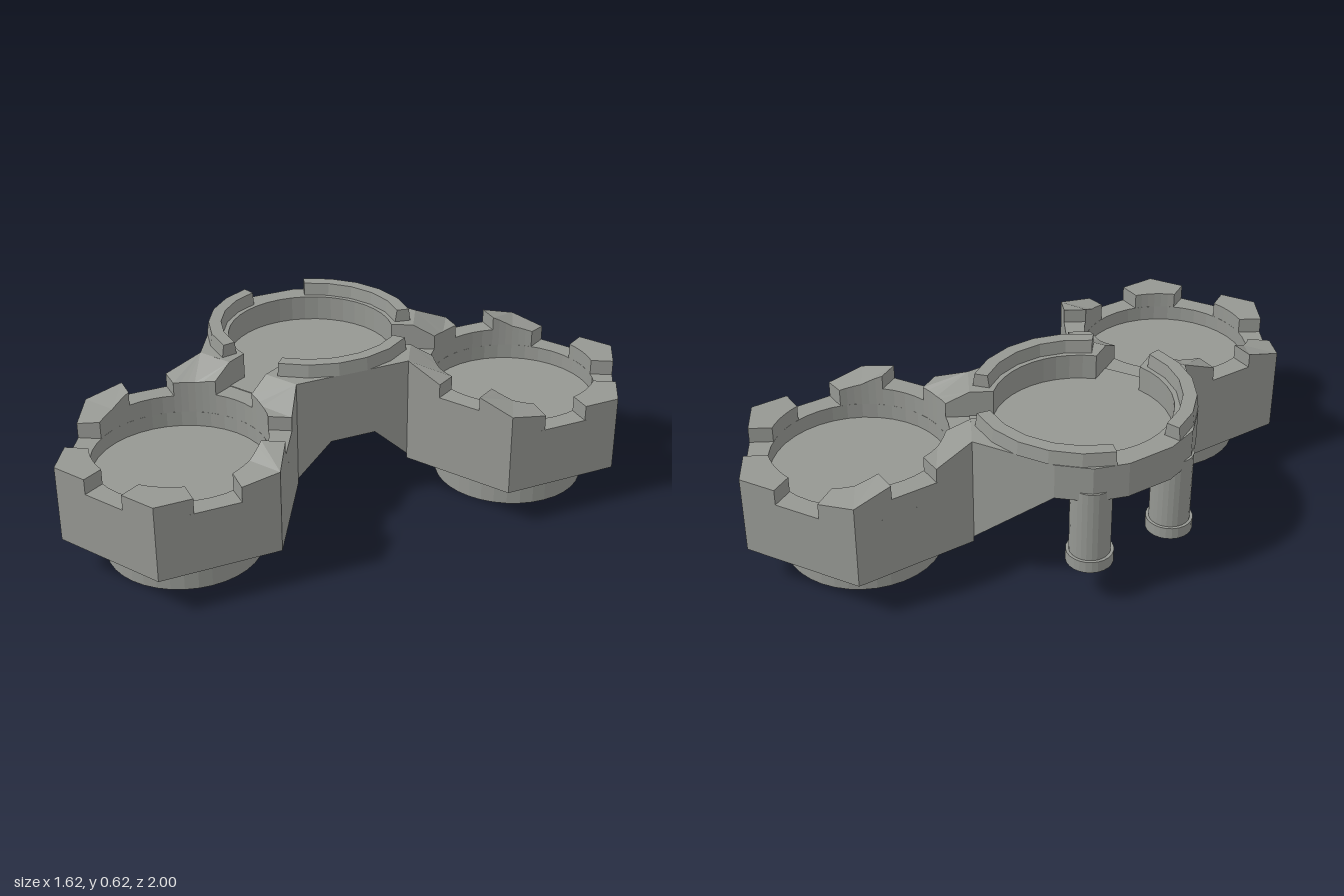
import * as THREE from 'three';
import { ConvexGeometry } from 'three/addons/geometries/ConvexGeometry.js';

const stone = new THREE.MeshStandardMaterial({ color: 0x959792 });
stone.name = 'stoneGrey';

const APOTHEM = 0.4, CORNER = 0.4619, BOWL = 0.325, SLOT = 0.0875, FLOOR = 0.33;
const SLOT_ANGLE = Math.asin(SLOT / BOWL);
const DEG = Math.PI / 180;
const polar = (r, a) => [r * Math.cos(a), r * Math.sin(a)];

// point on the hexagon edge facing angle a, shifted sideways by s
const onEdge = (a, s) => [
  APOTHEM * Math.cos(a) - s * Math.sin(a),
  APOTHEM * Math.sin(a) + s * Math.cos(a),
];

function arc(r, a0, a1, n) {
  return Array.from({ length: n + 1 }, (_, i) => polar(r, a0 + ((a1 - a0) * i) / n));
}

function addMesh(group, name, geometry) {
  const g = geometry.index ? geometry.toNonIndexed() : geometry;
  g.computeVertexNormals();
  const mesh = new THREE.Mesh(g, stone);
  mesh.name = name;
  group.add(mesh);
  return mesh;
}

// upright prism over an (x, z) outline; top is a height or a rule of x
function prism(group, name, outline, y0, top, hole) {
  const flat = (pts) => pts.map(([x, z]) => new THREE.Vector2(x, -z));
  const shape = new THREE.Shape(flat(outline));
  if (hole) shape.holes.push(new THREE.Path(flat(hole)));
  const g = new THREE.ExtrudeGeometry(shape, { depth: 1, bevelEnabled: false });
  g.rotateX(-Math.PI / 2);
  const p = g.attributes.position;
  for (let i = 0; i < p.count; i++) {
    const h = typeof top === 'function' ? top(p.getX(i)) : top;
    p.setY(i, p.getY(i) > 0.5 ? h : y0);
  }
  return addMesh(group, name, g);
}

function cylinder(group, name, r, y0, y1, x = 0, z = 0, sides = 36) {
  const g = new THREE.CylinderGeometry(r, r, y1 - y0, sides);
  g.translate(x, (y0 + y1) / 2, z);
  return addMesh(group, name, g);
}

// battlement height, rising toward the raised middle (+x)
const SLOPE = [[-0.124, 0.45], [0, 0.475], [0.08, 0.515], [0.285, 0.515], [0.4, 0.575]];
function rimHeight(x) {
  if (x <= SLOPE[0][0]) return SLOPE[0][1];
  for (let i = 1; i < SLOPE.length; i++) {
    const [x0, h0] = SLOPE[i - 1], [x1, h1] = SLOPE[i];
    if (x <= x1) return h0 + ((h1 - h0) * (x - x0)) / (x1 - x0);
  }
  return 0.575;
}

// hexagonal socket with a round stud below and notched walls; +x faces the middle
function tower(name) {
  const g = new THREE.Group();
  g.name = name;
  const hex = Array.from({ length: 6 }, (_, i) => polar(CORNER, (30 + 60 * i) * DEG));
  cylinder(g, 'stud', 0.295, 0, 0.16);
  prism(g, 'base', hex, 0.15, FLOOR);
  prism(g, 'wall', hex, FLOOR, 0.39, arc(BOWL, 2 * Math.PI, 0, 36).slice(0, -1));
  for (let k = 0; k < 6; k++) {
    const a = 60 * k * DEG, mid = a + 30 * DEG, b = a + 60 * DEG;
    // corner block between two notches, split at its ridge
    prism(g, 'cornerBlock',
      [onEdge(a, SLOT), hex[k], ...arc(BOWL, mid, a + SLOT_ANGLE, 3)], 0.39, rimHeight);
    prism(g, 'cornerBlock',
      [hex[k], onEdge(b, -SLOT), ...arc(BOWL, b - SLOT_ANGLE, mid, 3)], 0.39, rimHeight);
    // shallower notch floors on the three edges nearest the middle
    if (k <= 1 || k === 5) {
      const sill = [
        onEdge(a, -SLOT), onEdge(a, SLOT),
        ...arc(BOWL, a + SLOT_ANGLE, a - SLOT_ANGLE, 4),
      ];
      prism(g, 'notchSill', sill, 0.39, k === 0 ? 0.472 : 0.46);
    }
  }
  return g;
}

// raised middle platform; +x is its mirror axis, the towers lie at +-60 degrees
function platform() {
  const g = new THREE.Group();
  g.name = 'platform';
  const d = 60 * DEG;

  // arched underside: a ramp to each tower and a thin centre
  const hull = (name, pts) => addMesh(g, name, new ConvexGeometry(
    pts.flatMap(([x, y, z]) => [new THREE.Vector3(x, y, z), new THREE.Vector3(x, 0.475, z)])));
  for (const s of [1, -1]) {
    hull('archRamp', [[0, 0.17, 0.462 * s], [0.4, 0.17, 0.231 * s],
      [0.4, 0.3, 0.092 * s], [-0.27, 0.44, 0.306 * s]]);
  }
  hull('archCentre', [1, -1].flatMap((s) => [[0.4, 0.3, 0.092 * s], [-0.27, 0.44, 0.306 * s],
    [-0.36, 0.44, 0.21 * s], [-0.4, 0.44, 0.09 * s]]));

  // wall around the bowl, open toward both towers
  prism(g, 'frontWall', [
    onEdge(-d, SLOT), [0.4, -0.231], [0.4, 0.231], onEdge(d, -SLOT),
    ...arc(BOWL, d - SLOT_ANGLE, -d + SLOT_ANGLE, 10),
  ], 0.475, 0.575);
  const side = [[0, 0.462], [-0.27, 0.306], [-0.36, 0.21], [-0.4, 0.09]];
  prism(g, 'backWall', [
    onEdge(d, SLOT), ...side,
    ...side.map(([x, z]) => [x, -z]).reverse(), onEdge(-d, -SLOT),
    ...arc(BOWL, -d - SLOT_ANGLE, -2 * Math.PI + d + SLOT_ANGLE, 22),
  ], 0.475, 0.575);

  // three raised rim arcs, narrowing toward the top
  for (let k = 0; k < 3; k++) {
    const m = 120 * k * DEG, w = 41 * DEG;
    const rim = prism(g, 'rimArc',
      [...arc(0.408, m - w, m + w, 5), ...arc(0.345, m + w, m - w, 5)], 0.575, 0.625);
    const p = rim.geometry.attributes.position;
    for (let i = 0; i < p.count; i++) {
      if (p.getY(i) < 0.6) continue;
      const x = p.getX(i), z = p.getZ(i), r = Math.hypot(x, z);
      const f = (r - Math.sign(r - 0.38) * 0.007) / r;
      p.setXYZ(i, x * f, p.getY(i), z * f);
    }
    rim.geometry.computeVertexNormals();
  }

  // two hanging columns with wider feet
  for (const s of [1, -1]) {
    const [x, z] = polar(0.35, 150 * DEG * s);
    cylinder(g, 'column', 0.074, 0.15, 0.472, x, z, 24);
    cylinder(g, 'columnFoot', 0.085, 0.15, 0.195, x, z, 24);
  }
  return g;
}

export function createModel() {
  const model = new THREE.Group();
  model.name = 'towerCluster';
  const place = (part, x, z, turn) => {
    part.position.set(x, 0, z);
    part.rotation.y = turn * DEG;
    model.add(part);
  };
  place(tower('frontTower'), -0.346, 0.6, 90);
  place(tower('backTower'), 0.346, -0.6, 210);
  place(platform(), -0.346, -0.2, -30);
  return model;
}
